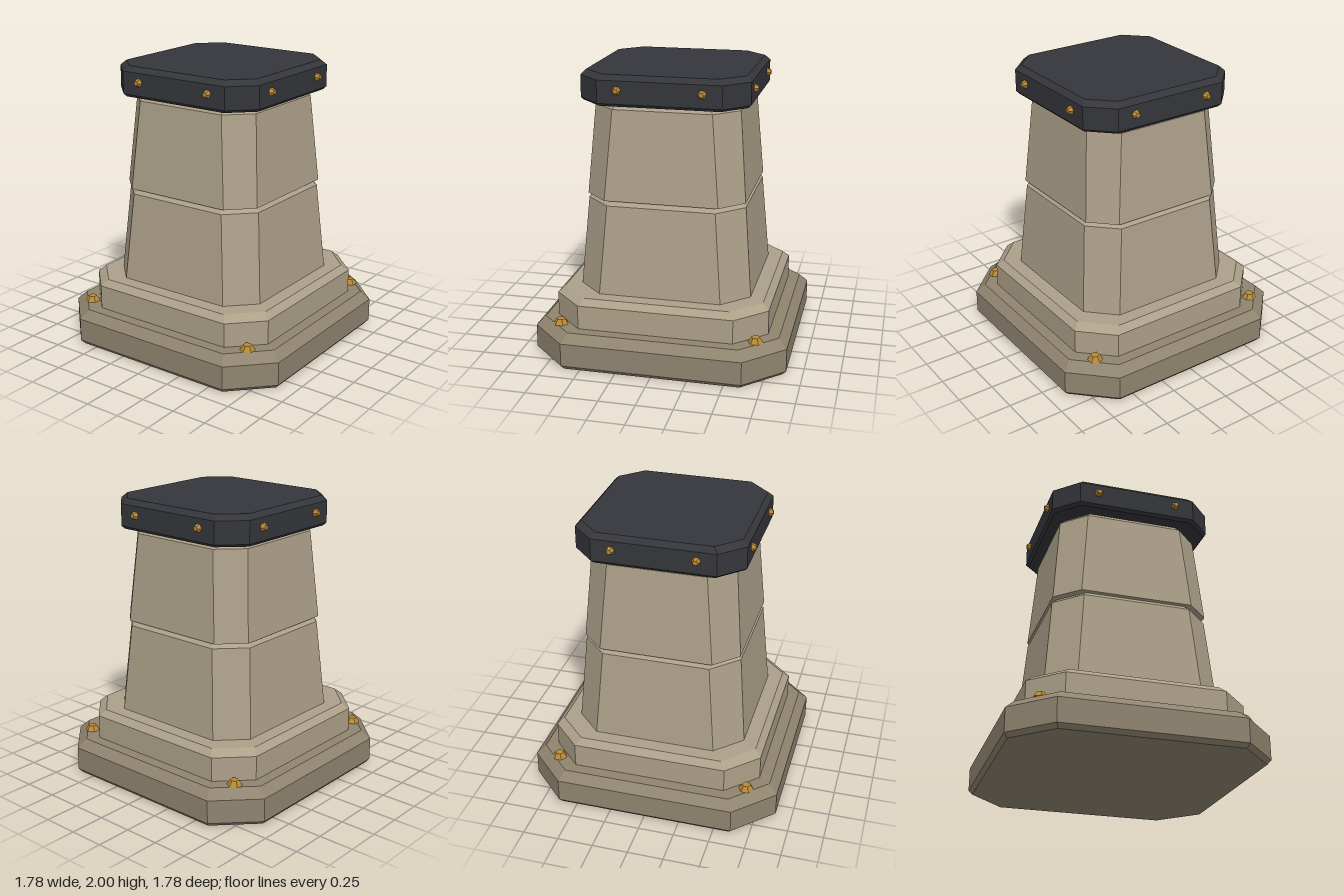
import * as THREE from 'three';

const material = (color) => new THREE.MeshStandardMaterial({ color, flatShading: true });

// Square with cut corners: h = half width, f = half length of the straight side
const ring = ([y, h, f]) => [
  [f, h], [h, f], [h, -f], [f, -h], [-f, -h], [-h, -f], [-h, f], [-f, h],
].map(([x, z]) => [x, y, z]);

// Closed solid lofted through levels [y, h, f], listed from bottom to top
function loft(name, mat, levels) {
  const rings = levels.map(ring);
  const pos = [];
  const tri = (a, b, c) => pos.push(...a, ...b, ...c);
  for (let k = 0; k < rings.length - 1; k++) {
    const lo = rings[k], hi = rings[k + 1];
    for (let i = 0; i < 8; i++) {
      const j = (i + 1) % 8;
      tri(lo[i], lo[j], hi[j]);
      tri(lo[i], hi[j], hi[i]);
    }
  }
  const bottom = rings[0], top = rings[rings.length - 1];
  for (let i = 1; i < 7; i++) {
    tri(bottom[0], bottom[i + 1], bottom[i]);
    tri(top[0], top[i], top[i + 1]);
  }
  const geo = new THREE.BufferGeometry();
  geo.setAttribute('position', new THREE.Float32BufferAttribute(pos, 3));
  geo.computeVertexNormals();
  const mesh = new THREE.Mesh(geo, mat);
  mesh.name = name;
  return mesh;
}

// Tapered hexagonal bolt head standing on y = 0, with corners on the x axis
function boltGeometry(rTop, rBottom, height) {
  return new THREE.CylinderGeometry(rTop, rBottom, height, 6)
    .rotateY(Math.PI / 2).translate(0, height / 2, 0);
}

export function createModel() {
  const model = new THREE.Group();
  model.name = 'pedestal';
  const darkStone = material(0x8f846f);
  const stone = material(0xaca089);
  const iron = material(0x35363b);
  const brass = material(0xb98a35);

  // Stepped foot
  model.add(loft('base', darkStone, [
    [0, 0.865, 0.61], [0.03, 0.89, 0.625], [0.195, 0.89, 0.625], [0.255, 0.83, 0.59],
  ]));
  model.add(loft('plinth', stone, [
    [0.25, 0.75, 0.54], [0.425, 0.75, 0.54], [0.467, 0.705, 0.505],
  ]));

  // Tapered shaft in two blocks, each with a bevelled top edge
  model.add(loft('lowerShaft', stone, [
    [0.46, 0.606, 0.426], [1.095, 0.553, 0.375], [1.13, 0.518, 0.352],
  ]));
  model.add(loft('upperShaft', stone, [
    [1.13, 0.553, 0.393], [1.755, 0.502, 0.34], [1.795, 0.465, 0.315],
  ]));

  // Dark bevelled cap
  model.add(loft('cap', iron, [
    [1.79, 0.562, 0.405], [1.81, 0.58, 0.42], [1.965, 0.58, 0.42], [2, 0.545, 0.393],
  ]));

  // Bolts on the base corners
  const baseBolt = boltGeometry(0.03, 0.053, 0.037);
  for (const x of [-0.685, 0.685]) {
    for (const z of [-0.685, 0.685]) {
      const bolt = new THREE.Mesh(baseBolt, brass);
      bolt.name = 'baseBolt';
      bolt.position.set(x, 0.255, z);
      model.add(bolt);
    }
  }

  // Two bolts on each side of the cap
  const capBolt = boltGeometry(0.017, 0.031, 0.03).rotateX(Math.PI / 2);
  for (let side = 0; side < 4; side++) {
    const row = new THREE.Group();
    row.name = 'capBolts';
    row.rotation.y = side * Math.PI / 2;
    for (const x of [-0.285, 0.285]) {
      const bolt = new THREE.Mesh(capBolt, brass);
      bolt.name = 'capBolt';
      bolt.position.set(x, 1.9, 0.579);
      row.add(bolt);
    }
    model.add(row);
  }
  return model;
}
